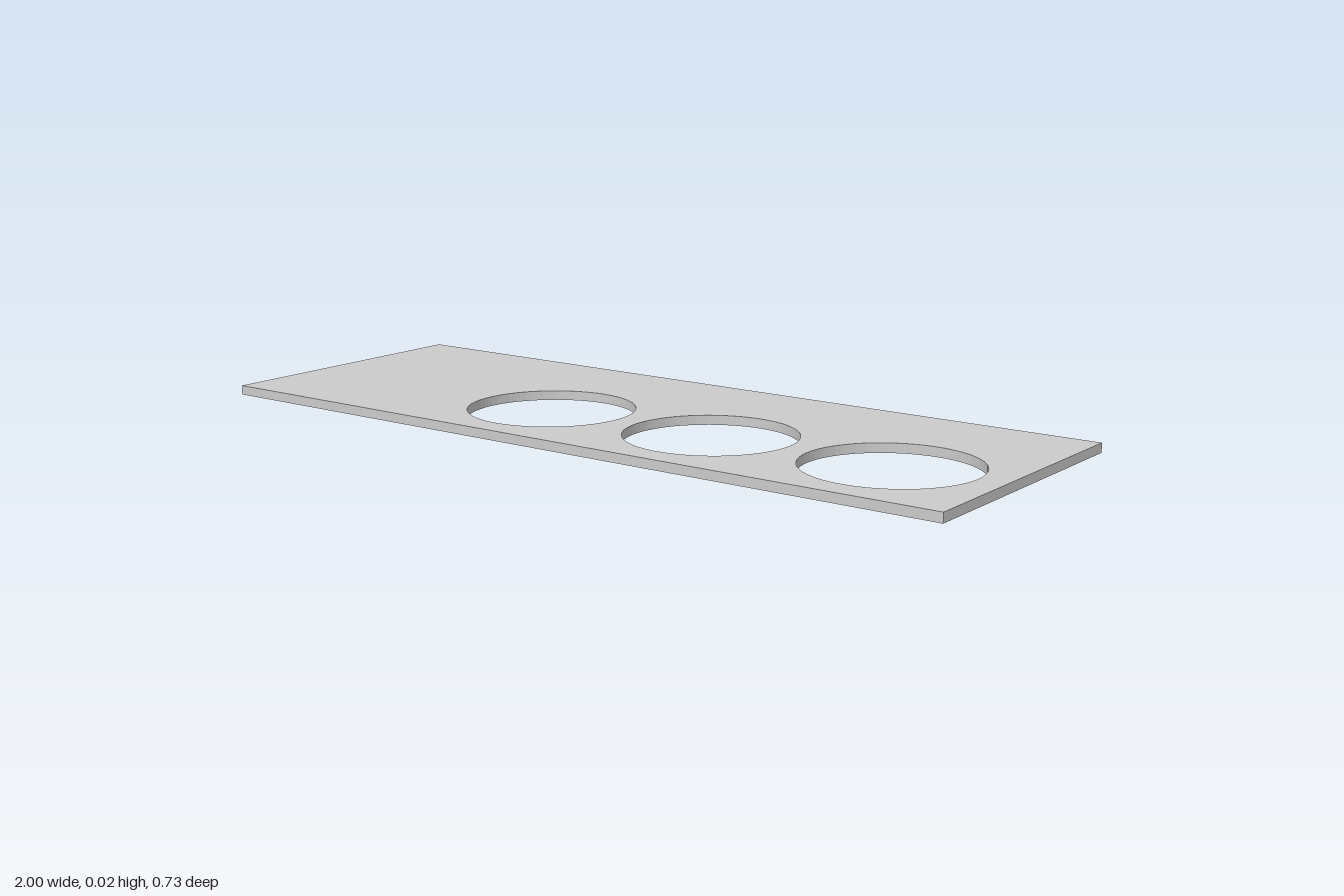
import * as THREE from 'three';

const WIDTH = 2, DEPTH = 0.727, THICKNESS = 0.023;
const HOLE_RADIUS = 0.202, HOLE_Z = 0.095;
const HOLE_XS = [-0.203, 0.264, 0.731];

export function createModel() {
  const group = new THREE.Group();
  group.name = 'panel';

  // Rectangular outline, drawn in plan with shape y = -z
  const w = WIDTH / 2, d = DEPTH / 2;
  const outline = new THREE.Shape([
    new THREE.Vector2(-w, -d),
    new THREE.Vector2(w, -d),
    new THREE.Vector2(w, d),
    new THREE.Vector2(-w, d),
  ]);

  // Row of three round openings
  for (const x of HOLE_XS) {
    outline.holes.push(new THREE.Path().absarc(x, -HOLE_Z, HOLE_RADIUS, 0, Math.PI * 2, true));
  }

  // Thin flat plate lying on the ground
  const geometry = new THREE.ExtrudeGeometry(outline, {
    depth: THICKNESS, bevelEnabled: false, curveSegments: 40,
  });
  geometry.rotateX(-Math.PI / 2);

  const plate = new THREE.Mesh(geometry, new THREE.MeshStandardMaterial({ color: 0xcccccc }));
  plate.name = 'platePierced';
  group.add(plate);
  return group;
}
